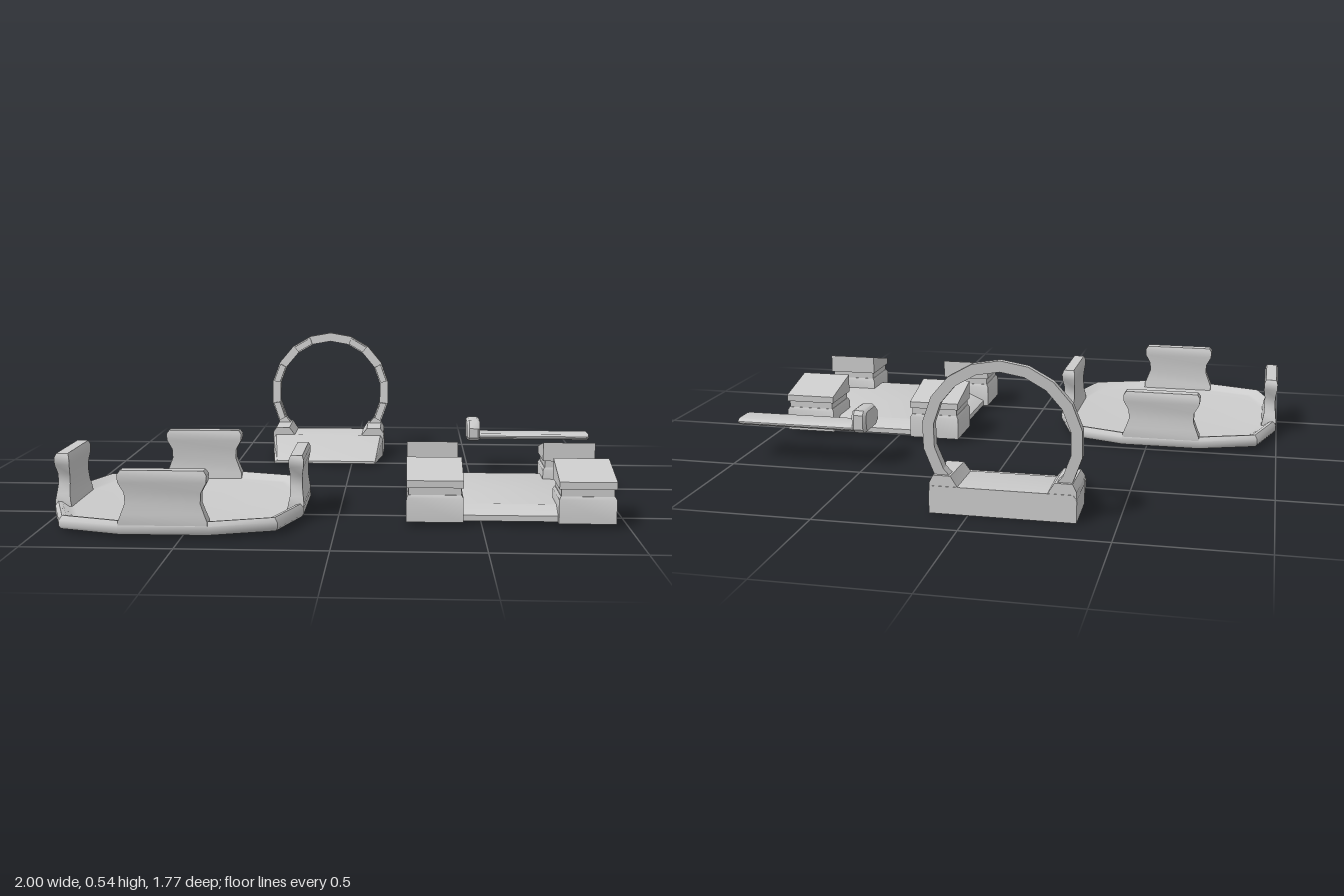
import * as THREE from 'three';
import { toCreasedNormals } from 'three/addons/utils/BufferGeometryUtils.js';

const material = new THREE.MeshStandardMaterial({ color: 0xcccccc });

function add(parent, name, geometry, crease = 0.5) {
  const mesh = new THREE.Mesh(toCreasedNormals(geometry, crease), material);
  mesh.name = name;
  parent.add(mesh);
  return mesh;
}

// Skin a row of closed cross-sections and cap both ends, facing outward
function loft(rings) {
  const n = rings[0].length, pts = rings.flat(), idx = [];
  for (let r = 0; r < rings.length - 1; r++) {
    for (let i = 0; i < n; i++) {
      const a = r * n + i, b = r * n + (i + 1) % n;
      idx.push(a, b, b + n, a, b + n, a + n);
    }
  }
  for (const r of [0, rings.length - 1]) {
    const c = pts.length;
    pts.push([0, 1, 2].map(k => rings[r].reduce((s, p) => s + p[k] / n, 0)));
    for (let i = 0; i < n; i++) {
      const a = r * n + i, b = r * n + (i + 1) % n;
      idx.push(...(r ? [a, b, c] : [b, a, c]));
    }
  }
  let volume = 0;
  const v = i => new THREE.Vector3(...pts[i]);
  for (let i = 0; i < idx.length; i += 3) volume += v(idx[i]).dot(v(idx[i + 1]).cross(v(idx[i + 2])));
  if (volume < 0) idx.reverse();
  const g = new THREE.BufferGeometry();
  g.setAttribute('position', new THREE.Float32BufferAttribute(pts.flat(), 3));
  g.setIndex(idx);
  return g;
}

// Rectangle in plan, with a height for each end in z
const rect = (hx, hz, y, yFront = y) =>
  [[-hx, y, -hz], [hx, y, -hz], [hx, yFront, hz], [-hx, yFront, hz]];

// Twelve-sided tray with four waisted tabs
function tray() {
  const g = new THREE.Group();
  g.name = 'tray';
  const quarter = [[0.15, -0.44], [0.365, -0.37], [0.44, -0.15]];
  const outline = [0, 1, 2, 3].flatMap(k => quarter.map(([x, z]) =>
    [[x, z], [-z, x], [-x, -z], [z, -x]][k]));
  const section = [[0.86, 0.04], [0.9, 0.042], [0.945, 0.058], [0.975, 0.06], [1, 0.045],
    [1, 0.025], [0.985, 0.015], [0.93, 0.015], [0.91, 0.03], [0.86, 0.032]];
  add(g, 'trayFloor', loft(section.map(([s, y]) => outline.map(([x, z]) => [x * s, y, z * s]))), 0.7);

  // Half widths, heights and inner/outer faces up the tab
  const levels = [[0.148, 0.03, 0.38, 0.437], [0.148, 0.06, 0.385, 0.44], [0.138, 0.085, 0.39, 0.437],
    [0.125, 0.12, 0.391, 0.433], [0.127, 0.155, 0.391, 0.433], [0.146, 0.19, 0.387, 0.439],
    [0.148, 0.215, 0.387, 0.44], [0.138, 0.23, 0.393, 0.434]];
  const tab = loft(levels.map(([w, y, a, b]) => [[-w, y, a], [w, y, a], [w, y, b], [-w, y, b]]));
  for (let k = 0; k < 4; k++) add(g, 'trayTab', tab, 0.7).rotation.y = k * Math.PI / 2;
  g.position.set(-0.557, 0, 0.44);
  return g;
}

// Square base carrying four posts with sloping caps
function postBase() {
  const g = new THREE.Group();
  g.name = 'postBase';
  add(g, 'basePlate', loft([rect(0.275, 0.275, 0.035), rect(0.28, 0.28, 0.017), rect(0.338, 0.338, 0.017),
    rect(0.338, 0.338, 0.037), rect(0.278, 0.278, 0.065)]));
  const foot = loft([rect(0.06, 0.06, 0.05), rect(0.065, 0.065, 0.015), rect(0.098, 0.098, 0.015),
    rect(0.098, 0.098, 0.098), rect(0.092, 0.092, 0.109)]);
  const neck = loft([rect(0.09, 0.09, 0.1), rect(0.09, 0.09, 0.14)]);
  for (const sx of [-1, 1]) {
    for (const sz of [-1, 1]) {
      const post = new THREE.Group();
      post.name = 'post';
      add(post, 'postFoot', foot);
      add(post, 'postNeck', neck);
      add(post, 'postCap', loft([rect(0.098, 0.098, 0.135),
        sz > 0 ? rect(0.098, 0.098, 0.207, 0.16) : rect(0.098, 0.098, 0.16, 0.207)]), 0.1);
      post.position.set(sx * 0.26, 0, sz * 0.26);
      g.add(post);
    }
  }
  g.position.set(0.598, 0, 0.293);
  return g;
}

// Wedge-shaped scoop with a faceted hoop standing on its back
function scoop() {
  const g = new THREE.Group();
  g.name = 'scoop';
  const slice = (z, w, bottom, top) => [[-w, bottom, z], [w, bottom, z],
    [w, bottom + (top - bottom) * 0.8, z], [w - 0.012, top, z], [-w + 0.012, top, z],
    [-w, bottom + (top - bottom) * 0.8, z]];
  add(g, 'wedge', loft([slice(-0.44, 0.218, 0.01, 0.02), slice(-0.675, 0.247, 0.005, 0.096),
    slice(-0.86, 0.25, 0.002, 0.098)]), 0.4);
  for (const s of [-1, 1]) {
    const pad = (z, h) => [[s * 0.249, 0.08, z], [s * 0.249, 0.107, z], [s * 0.235, h, z],
      [s * 0.175, h, z], [s * 0.15, 0.095, z], [s * 0.15, 0.08, z]];
    add(g, 'hoopMount', loft([pad(-0.675, 0.128), pad(-0.858, 0.135)]), 0.3);
  }

  // Hoop cross-section at an angle; it leans back and thins toward the top
  const hoopRing = (deg, r0, r1, front, back) => {
    const a = deg * Math.PI / 180;
    const at = (r, d) => {
      const y = 0.272 + r * Math.sin(a);
      const lean = (y - 0.13) / 0.41;
      return [r * Math.cos(a), y, -0.825 - 0.05 * lean + d * (1 - 0.45 * lean)];
    };
    return [at(r0, front), at(r1, front), at(r1, -back), at(r0, -back)];
  };
  const hoop = [];
  for (let d = -50; d <= 230; d += 20) hoop.push(hoopRing(d, 0.232, 0.27, 0.02, 0.02));
  add(g, 'hoop', loft(hoop), 0.3);
  for (const d of [-20, 20, 60, 120, 160, 200]) {
    add(g, 'hoopPad', loft([hoopRing(d - 9, 0.236, 0.264, 0.034, 0),
      hoopRing(d + 9, 0.236, 0.264, 0.034, 0)]), 0.3);
  }
  g.position.x = -0.116;
  return g;
}

// Flat peg with a tall rounded head
function peg() {
  const g = new THREE.Group();
  g.name = 'peg';
  const head = [[-0.455, 0.15], [-0.44, 0.135], [-0.325, 0.135], [-0.297, 0.15],
    [-0.297, 0.19], [-0.335, 0.22], [-0.44, 0.22], [-0.455, 0.205]];
  const headAt = (x, s) => head.map(([z, y]) => [x, 0.178 + (y - 0.178) * s, -0.376 + (z + 0.376) * s]);
  add(g, 'pegHead', loft([headAt(0.49, 0.85), headAt(0.5, 1), headAt(0.535, 1), headAt(0.545, 0.88)]), 0.7);
  const shaft = [[-0.45, 0.148], [-0.435, 0.139], [-0.345, 0.139], [-0.33, 0.148],
    [-0.33, 0.154], [-0.345, 0.162], [-0.435, 0.162], [-0.45, 0.154]];
  const shaftAt = (x, s) => shaft.map(([z, y]) => [x, y, -0.39 + (z + 0.39) * s]);
  add(g, 'pegShaft', loft([shaftAt(0.53, 1), shaftAt(0.99, 1), shaftAt(1, 0.86)]), 0.5);
  return g;
}

export function createModel() {
  const model = new THREE.Group();
  model.name = 'partSet';
  model.add(tray(), postBase(), scoop(), peg());
  return model;
}
